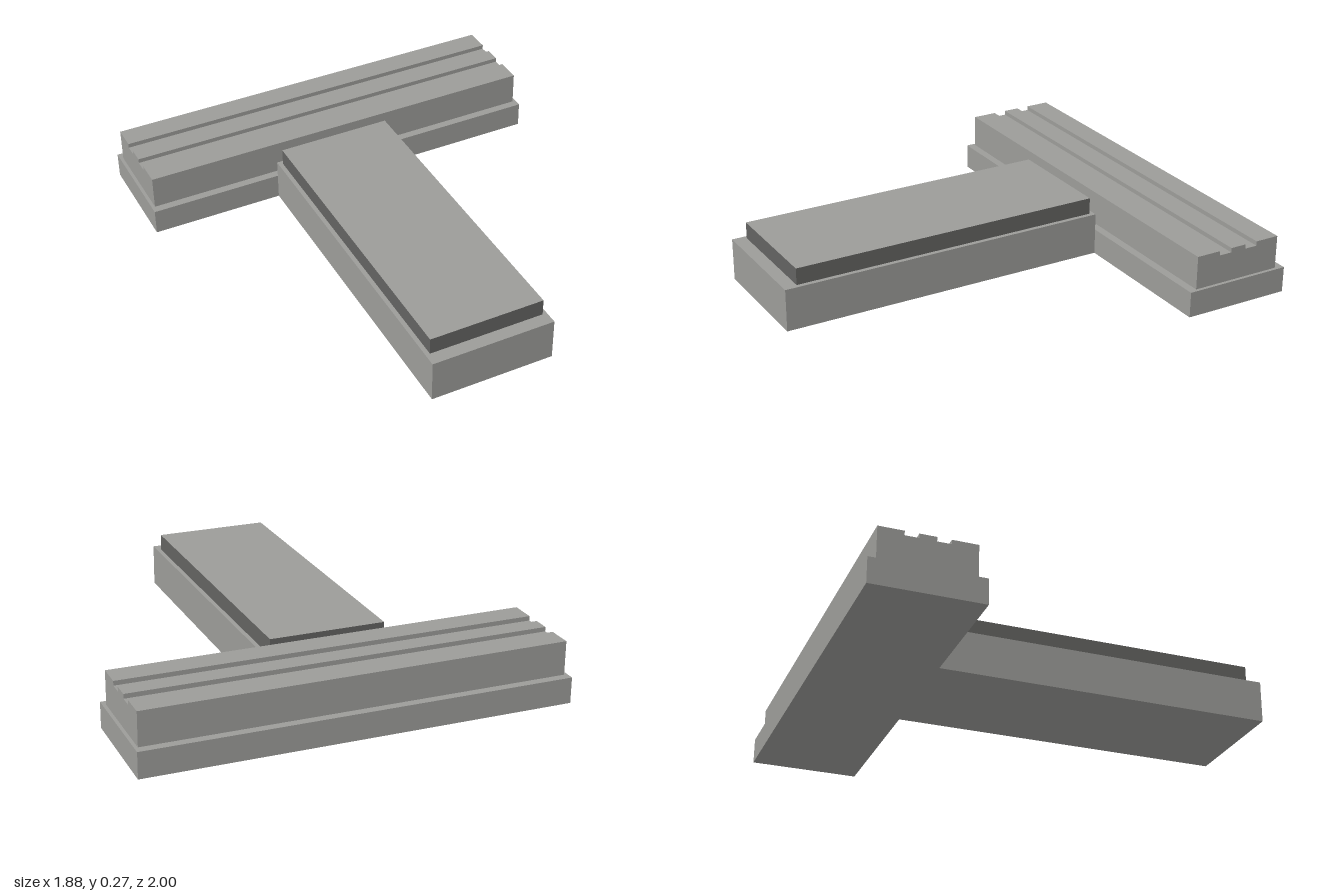
import * as THREE from 'three';

const stone = new THREE.MeshStandardMaterial({ color: 0x9c9c99 });
stone.name = 'light grey';
const trim = new THREE.MeshStandardMaterial({ color: 0x636361 });
trim.name = 'dark grey';

// Box given by its minimum and maximum corners
function block(name, [x0, y0, z0], [x1, y1, z1], material) {
  const mesh = new THREE.Mesh(new THREE.BoxGeometry(x1 - x0, y1 - y0, z1 - z0), material);
  mesh.position.set((x0 + x1) / 2, (y0 + y1) / 2, (z0 + z1) / 2);
  mesh.name = name;
  return mesh;
}

// Upper bar with two grooves along its length; the profile runs from front to back
function groovedBar() {
  const bottom = 0.115, top = 0.265, floor = 0.245, halfLength = 0.925;
  const front = 0.547, back = 0.962;
  const profile = new THREE.Shape();
  profile.moveTo(front, bottom);
  profile.lineTo(back, bottom);
  profile.lineTo(back, top);
  for (const [near, far] of [[0.793, 0.852], [0.66, 0.72]]) {
    profile.lineTo(far, top);
    profile.lineTo(far, floor);
    profile.lineTo(near, floor);
    profile.lineTo(near, top);
  }
  profile.lineTo(front, top);
  profile.closePath();
  const geometry = new THREE.ExtrudeGeometry(profile, { depth: 2 * halfLength, bevelEnabled: false });
  geometry.rotateY(Math.PI / 2).translate(-halfLength, 0, 0);
  const mesh = new THREE.Mesh(geometry, stone);
  mesh.name = 'groovedBar';
  return mesh;
}

export function createModel() {
  const group = new THREE.Group();
  group.name = 'building';

  // Cross wing at the back
  group.add(block('crossWingBase', [-0.94, 0, -1], [0.94, 0.115, -0.51], stone));
  group.add(groovedBar());

  // Long wing towards the front, with a dark-sided upper storey and a light roof
  group.add(block('longWingBase', [-0.34, 0, -0.51], [0.22, 0.19, 1], stone));
  group.add(block('longWingUpper', [-0.32, 0.19, -0.49], [0.2, 0.265, 0.94],
    [trim, trim, stone, trim, trim, trim]));
  return group;
}
